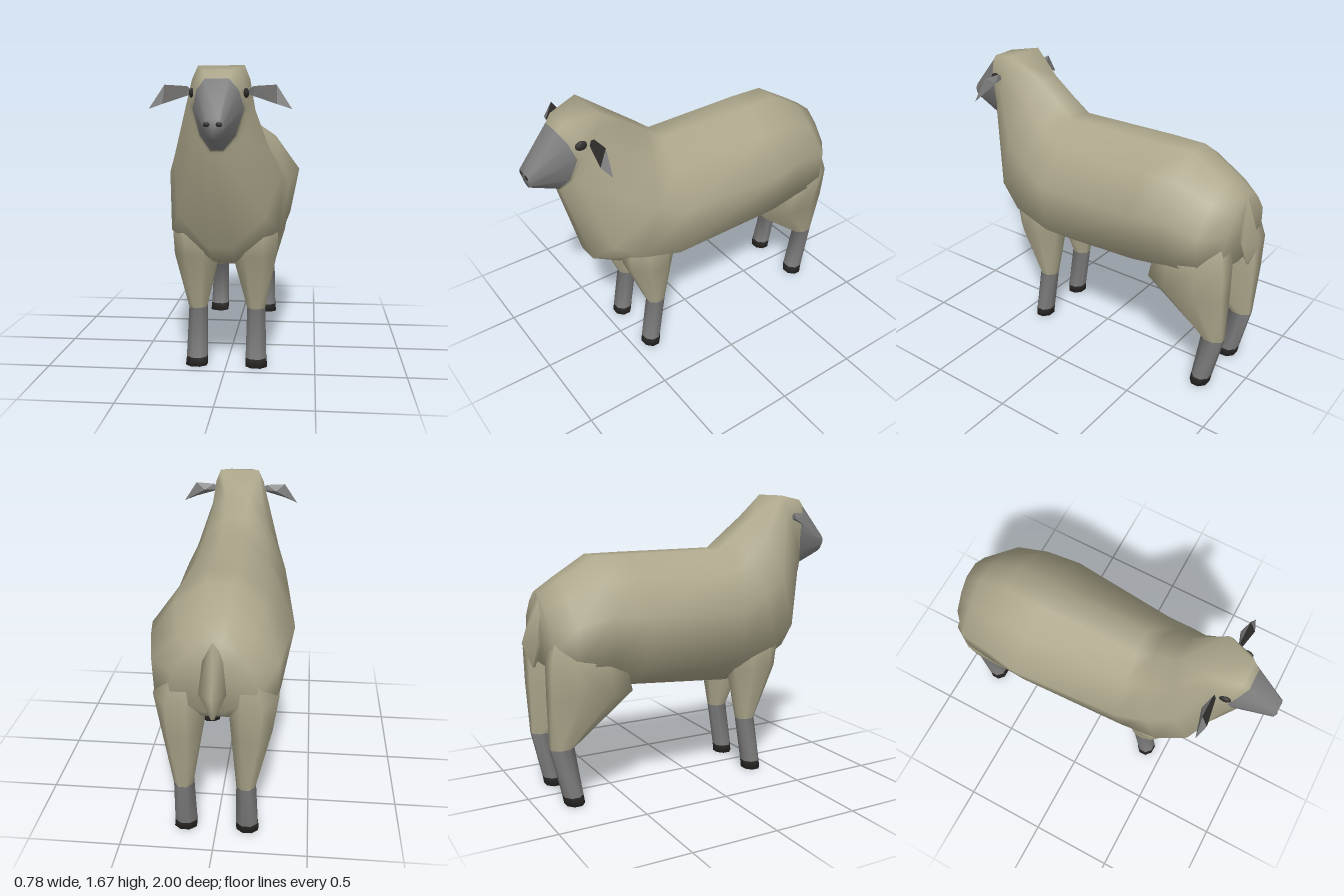
import * as THREE from 'three';

const wool = new THREE.MeshStandardMaterial({ color: 0xaca68b });
wool.name = 'wool';
const skin = new THREE.MeshStandardMaterial({ color: 0x7f7f80 });
skin.name = 'greySkin';
const dark = new THREE.MeshStandardMaterial({ color: 0x302e2c, side: THREE.DoubleSide });
dark.name = 'darkHorn';

// Closed smooth skin over rings of [x, y, z]; bands[i] is the material between ring i and i + 1
function loft(name, rings, bands) {
  const n = rings[0].length;
  const pos = rings.flat(2);
  const centre = (r) => [0, 1, 2].map((k) => r.reduce((s, p) => s + p[k], 0) / n);
  const first = rings.length * n;
  pos.push(...centre(rings[0]), ...centre(rings[rings.length - 1]));
  const mats = [...new Set(bands)];
  const tris = bands.map(() => []);
  bands.forEach((_, r) => {
    for (let i = 0; i < n; i++) {
      const j = (i + 1) % n, a = r * n + i, b = r * n + j;
      tris[r].push([a, b, b + n], [a, b + n, a + n]);
      if (r === 0) tris[r].push([first, b, a]);
      if (r === bands.length - 1) tris[r].push([first + 1, a + n, b + n]);
    }
  });
  // Turn every face outward
  const v = (i) => new THREE.Vector3().fromArray(pos, i * 3);
  let volume = 0;
  tris.flat().forEach(([a, b, c]) => { volume += v(a).dot(v(b).cross(v(c))); });
  const index = [];
  const geo = new THREE.BufferGeometry();
  tris.forEach((band, r) => {
    geo.addGroup(index.length, band.length * 3, mats.indexOf(bands[r]));
    band.forEach(([a, b, c]) => index.push(...(volume < 0 ? [a, c, b] : [a, b, c])));
  });
  geo.setAttribute('position', new THREE.Float32BufferAttribute(pos, 3));
  geo.setIndex(index);
  geo.computeVertexNormals();
  const mesh = new THREE.Mesh(geo, mats);
  mesh.name = name;
  return mesh;
}

// Body ring: runs from a top to a bottom point, with half widths on the way down
const STEPS = [0, 0.16, 0.42, 0.8, 1];
function bodyRing([yt, zt, yb, zb, widths, sag = 0]) {
  const half = STEPS.map((t, i) => [
    widths[i], yt + (yb - yt) * t, zt + (zb - zt) * t - sag * Math.sin(Math.PI * t),
  ]);
  return [...half, ...half.slice().reverse().map(([x, y, z]) => [-x, y, z])];
}

// Level ring that fills x0..x1 and z0..z1
function levelRing([y, x0, x1, z0, z1], sides, side) {
  const off = sides === 4 ? 0 : Math.PI / sides;
  const k = 1 / Math.cos(off);
  return Array.from({ length: sides }, (_, i) => {
    const a = off + (i / sides) * Math.PI * 2;
    return [
      side * ((x0 + x1) / 2 + Math.cos(a) * k * (x1 - x0) / 2), y,
      (z0 + z1) / 2 + Math.sin(a) * k * (z1 - z0) / 2,
    ];
  });
}

function flatFaces(name, points, faces, material) {
  const geo = new THREE.BufferGeometry();
  geo.setAttribute('position', new THREE.Float32BufferAttribute(faces.flat().flatMap((i) => points[i]), 3));
  geo.computeVertexNormals();
  const mesh = new THREE.Mesh(geo, material);
  mesh.name = name;
  return mesh;
}

export function createModel() {
  const model = new THREE.Group();
  model.name = 'sheep';

  // Trunk, neck and head: rump to muzzle
  const sections = [
    [1.17, -0.91, 0.78, -0.9, [0.05, 0.13, 0.21, 0.22, 0.05]],
    [1.24, -0.8, 0.7, -0.8, [0.06, 0.19, 0.325, 0.315, 0.07]],
    [1.36, -0.6, 0.66, -0.62, [0.07, 0.23, 0.36, 0.33, 0.09]],
    [1.36, -0.4, 0.62, -0.42, [0.08, 0.24, 0.39, 0.335, 0.1]],
    [1.36, 0.2, 0.56, 0.25, [0.07, 0.21, 0.34, 0.295, 0.08]],
    [1.44, 0.3, 0.63, 0.51, [0.07, 0.19, 0.31, 0.29, 0.06]],
    [1.54, 0.43, 0.73, 0.68, [0.07, 0.17, 0.26, 0.23, 0.06]],
    [1.67, 0.61, 1.22, 0.812, [0.12, 0.15, 0.165, 0.12, 0.04], 0.03],
    [1.64, 0.78, 1.24, 0.818, [0.07, 0.12, 0.145, 0.1, 0.035], 0.07],
    [1.6, 0.815, 1.25, 0.825, [0.06, 0.105, 0.13, 0.088, 0.03], 0.07],
    [1.41, 0.995, 1.31, 0.98, [0.03, 0.045, 0.05, 0.035, 0.012]],
  ];
  model.add(loft('bodyAndHead', sections.map(bodyRing),
    sections.slice(1).map((_, i) => (i < 9 ? wool : skin))));

  // Tail
  const tail = [[1.17, -0.04, 0.04, -0.91, -0.87], [0.9, -0.07, 0.07, -1, -0.87], [0.76, -0.01, 0.01, -0.945, -0.93]];
  model.add(loft('tail', tail.map((r) => levelRing(r, 4, 1)), [wool, wool]));

  const frontLeg = [
    [1.0, 0.08, 0.24, 0.27, 0.46], [0.8, 0.04, 0.29, 0.22, 0.53], [0.65, 0.04, 0.282, 0.235, 0.515],
    [0.33, 0.115, 0.215, 0.28, 0.39], [0.05, 0.11, 0.225, 0.325, 0.43], [0, 0.11, 0.23, 0.33, 0.435],
  ];
  const hindLeg = [
    [1.06, 0.08, 0.25, -0.86, -0.6], [0.82, 0.06, 0.325, -0.92, -0.5], [0.62, 0.075, 0.295, -0.92, -0.45],
    [0.33, 0.115, 0.215, -0.915, -0.785], [0.05, 0.11, 0.225, -0.85, -0.742], [0, 0.11, 0.23, -0.84, -0.735],
  ];
  const legBands = [wool, wool, wool, skin, dark];

  for (const side of [1, -1]) {
    const label = side > 0 ? 'left' : 'right';
    model.add(loft(label + 'FrontLeg', frontLeg.map((r) => levelRing(r, 8, side)), legBands));
    model.add(loft(label + 'HindLeg', hindLeg.map((r) => levelRing(r, 8, side)), legBands));

    // Ear: root, upper corner, tip, lower edge and the back ridge
    const ear = [
      [0.12, 1.53, 0.68], [0.17, 1.565, 0.67], [0.285, 1.572, 0.67],
      [0.365, 1.45, 0.685], [0.29, 1.475, 0.71], [0.17, 1.515, 0.69], [0.23, 1.53, 0.645],
    ].map(([x, y, z]) => [x * side, y, z]);
    const turn = (faces) => (side > 0 ? faces : faces.map(([a, b, c]) => [a, c, b]));
    const group = new THREE.Group();
    group.name = label + 'Ear';
    group.add(flatFaces('earInside', ear, turn([[0, 5, 1], [1, 5, 4], [1, 4, 2]]), dark));
    group.add(flatFaces('earOutside', ear,
      turn([[2, 4, 3], [6, 0, 1], [6, 1, 2], [6, 2, 3], [6, 3, 4], [6, 4, 5], [6, 5, 0]]), skin));
    model.add(group);

    // Eye and nostril
    const eye = new THREE.Mesh(new THREE.SphereGeometry(1, 10, 6), dark);
    eye.name = label + 'Eye';
    eye.scale.set(0.016, 0.026, 0.036);
    eye.position.set(side * 0.135, 1.53, 0.725);
    const nostril = new THREE.Mesh(new THREE.SphereGeometry(1, 8, 6), dark);
    nostril.name = label + 'Nostril';
    nostril.scale.set(0.018, 0.014, 0.01);
    nostril.position.set(side * 0.03, 1.385, 0.988);
    model.add(eye, nostril);
  }
  return model;
}
